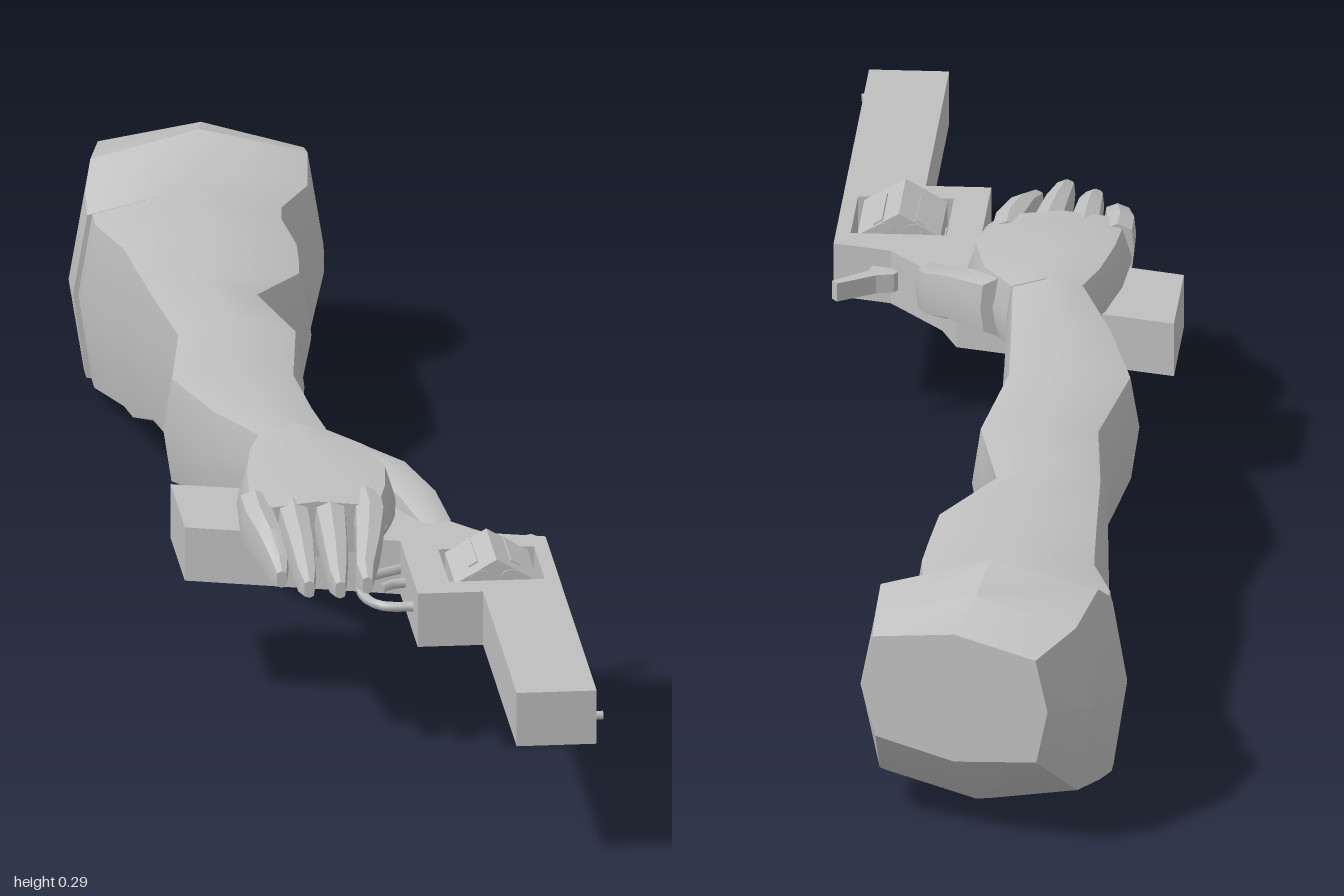
import * as THREE from 'three';
import { toCreasedNormals } from 'three/addons/utils/BufferGeometryUtils.js';

// Boxy eight-sided cross-section, counter-clockwise seen from +z
const RING = [[1, 0], [0.87, 0.78], [0, 1], [-0.87, 0.78], [-1, 0], [-0.88, -0.82], [0, -1], [0.84, -0.78]];

// Skins a list of sections [z, xMin, xMax, yMin, yMax, skew]; skew turns z along x
function loft(sections, crease = 0.7) {
  const pos = [], idx = [], n = RING.length;
  for (const [z, x0, x1, y0, y1, skew = 0] of sections) {
    const cx = (x0 + x1) / 2, cy = (y0 + y1) / 2, w = (x1 - x0) / 2, h = (y1 - y0) / 2;
    for (const [u, v] of RING) pos.push(cx + u * w, cy + v * h, z + skew * u * w);
  }
  const last = (sections.length - 1) * n;
  for (let i = 0; i < last; i += n) {
    for (let j = 0; j < n; j++) {
      const k = (j + 1) % n;
      idx.push(i + j, i + k, i + n + k, i + j, i + n + k, i + n + j);
    }
  }
  for (let j = 1; j < n - 1; j++) idx.push(0, j + 1, j, last, last + j, last + j + 1);
  const g = new THREE.BufferGeometry();
  g.setAttribute('position', new THREE.Float32BufferAttribute(pos, 3));
  g.setIndex(idx);
  return toCreasedNormals(g, crease);
}

// Digit sections from points [x, y, z, halfWidth, halfHeight]
const digit = (pts, skew = 0) =>
  loft(pts.map(([x, y, z, w, h]) => [z, x - w, x + w, y - h, y + h, skew]));

export function createModel() {
  const model = new THREE.Group();
  const grey = new THREE.MeshStandardMaterial({ color: 0xbfbfbf });
  grey.name = 'plain grey';
  const add = (name, geometry, parent = model) => {
    const mesh = new THREE.Mesh(geometry, grey);
    mesh.name = name;
    parent.add(mesh);
    return mesh;
  };

  // Shoulder cap with slanted back
  add('shoulderCap', loft([
    [-0.96, -0.14, 0.08, 0.10, 0.255, 0.35],
    [-0.905, -0.185, 0.082, 0.035, 0.282, 0.2],
    [-0.83, -0.205, 0.082, 0.008, 0.298],
    [-0.785, -0.216, 0.078, 0.004, 0.27],
    [-0.755, -0.214, 0.04, 0.006, 0.25],
  ], 0.5));

  // Arm, wrist and back of the hand
  add('arm', loft([
    [-0.78, -0.208, 0.045, 0.006, 0.252],
    [-0.72, -0.208, 0.038, 0.005, 0.25],
    [-0.63, -0.182, 0.045, 0.012, 0.247],
    [-0.56, -0.178, 0.04, 0.022, 0.248],
    [-0.5, -0.175, 0.033, 0.042, 0.252],
    [-0.4, -0.167, -0.03, 0.075, 0.258],
    [-0.25, -0.155, 0.0, 0.09, 0.26],
    [-0.08, -0.18, -0.02, 0.108, 0.262],
    [0.06, -0.145, -0.015, 0.138, 0.264],
    [0.18, -0.102, -0.01, 0.172, 0.27],
  ], 0.8));
  add('hand', loft([
    [0.17, -0.1, -0.01, 0.175, 0.27],
    [0.23, -0.122, 0.03, 0.172, 0.271],
    [0.31, -0.136, 0.047, 0.172, 0.27],
    [0.37, -0.139, 0.04, 0.174, 0.266],
    [0.425, -0.135, 0.025, 0.192, 0.258],
  ], 0.8));

  // Four fingers, each drooping to its tip
  const fingers = new THREE.Group();
  fingers.name = 'fingers';
  model.add(fingers);
  const tips = [
    ['littleFinger', -0.122, -0.108, 0.545, 0.205],
    ['ringFinger', -0.082, -0.082, 0.6, 0.21],
    ['middleFinger', -0.04, -0.048, 0.618, 0.214],
    ['indexFinger', 0.005, -0.014, 0.592, 0.21],
  ];
  for (const [name, x0, x1, z, y] of tips) {
    const mid = (x0 + x1) / 2, zm = (0.4 + z) / 2;
    add(name, digit([
      [x0, 0.23, 0.38, 0.019, 0.03],
      [x0, 0.23, 0.43, 0.018, 0.027],
      [mid, 0.224, zm + 0.01, 0.015, 0.023],
      [x1, y + 0.003, z - 0.03, 0.011, 0.018],
      [x1, y, z, 0.006, 0.01],
    ]), fingers);
  }
  // Thumb reaching along the back of the frame
  add('thumb', digit([
    [0.0, 0.222, 0.2, 0.022, 0.036],
    [0.04, 0.217, 0.25, 0.028, 0.033],
    [0.072, 0.2, 0.305, 0.025, 0.032],
    [0.088, 0.185, 0.36, 0.02, 0.03],
    [0.094, 0.17, 0.42, 0.014, 0.022],
  ], -0.3));

  // Revolver lying on its side: grip, frame and barrel in one outline
  const revolver = new THREE.Group();
  revolver.name = 'revolver';
  model.add(revolver);
  const toShape = (pts, Type) => new Type(pts.map(([x, z]) => new THREE.Vector2(x, z)));
  const plate = (shape, yTop, depth) => new THREE.ExtrudeGeometry(shape, { depth, bevelEnabled: false })
    .rotateX(Math.PI / 2).translate(0, yTop, 0);
  const body = toShape([[-0.2, 0.195], [0.055, 0.272], [0.075, 0.325], [0.14, 0.41], [0.207, 0.43],
    [0.207, 1], [0.115, 1], [0.115, 0.625], [0.04, 0.625], [0.04, 0.43], [-0.2, 0.355]], THREE.Shape);
  body.holes.push(toShape([[0.08, 0.465], [0.08, 0.585], [0.19, 0.585], [0.19, 0.465]], THREE.Path));
  add('frameAndBarrel', plate(body, 0.209, 0.064), revolver);

  // Six-sided cylinder with raised ribs and chamber rims
  const drum = new THREE.Group();
  drum.name = 'cylinder';
  drum.position.set(0.135, 0.178, 0.525);
  revolver.add(drum);
  add('cylinderBody', toCreasedNormals(new THREE.CylinderGeometry(0.055, 0.055, 0.116, 6).rotateX(Math.PI / 2), 0.3), drum);
  for (let i = 0; i < 6; i++) {
    const a = (i * Math.PI) / 3;
    const rim = add('chamberRim', new THREE.CylinderGeometry(0.014, 0.014, 0.119, 12).rotateX(Math.PI / 2), drum);
    rim.position.set(Math.cos(a) * 0.034, Math.sin(a) * 0.034, 0);
    const rib = add('cylinderRib', new THREE.BoxGeometry(0.007, 0.012, 0.085), drum);
    rib.position.set(Math.cos(a) * 0.046, Math.sin(a) * 0.046, -0.01);
    rib.rotation.z = a;
  }

  // Hammer spur, front sight, trigger and trigger guard
  add('hammer', plate(toShape([[0.125, 0.41], [0.135, 0.39], [0.155, 0.385], [0.198, 0.355],
    [0.204, 0.364], [0.165, 0.4], [0.16, 0.425]], THREE.Shape), 0.188, 0.022), revolver);
  const sight = add('frontSight', new THREE.CylinderGeometry(0.005, 0.005, 0.012, 6).rotateZ(Math.PI / 2), revolver);
  sight.position.set(0.209, 0.177, 0.993);
  const path = (pts) => new THREE.CatmullRomCurve3(pts.map(([x, z]) => new THREE.Vector3(x, 0.177, z)));
  add('triggerGuard', new THREE.TubeGeometry(
    path([[0.045, 0.575], [0.005, 0.568], [-0.012, 0.53], [-0.005, 0.47], [0.045, 0.43]]), 16, 0.006, 6), revolver);
  add('trigger', new THREE.TubeGeometry(path([[0.045, 0.485], [0.025, 0.49], [0.01, 0.505]]), 6, 0.006, 6), revolver);

  return model;
}
